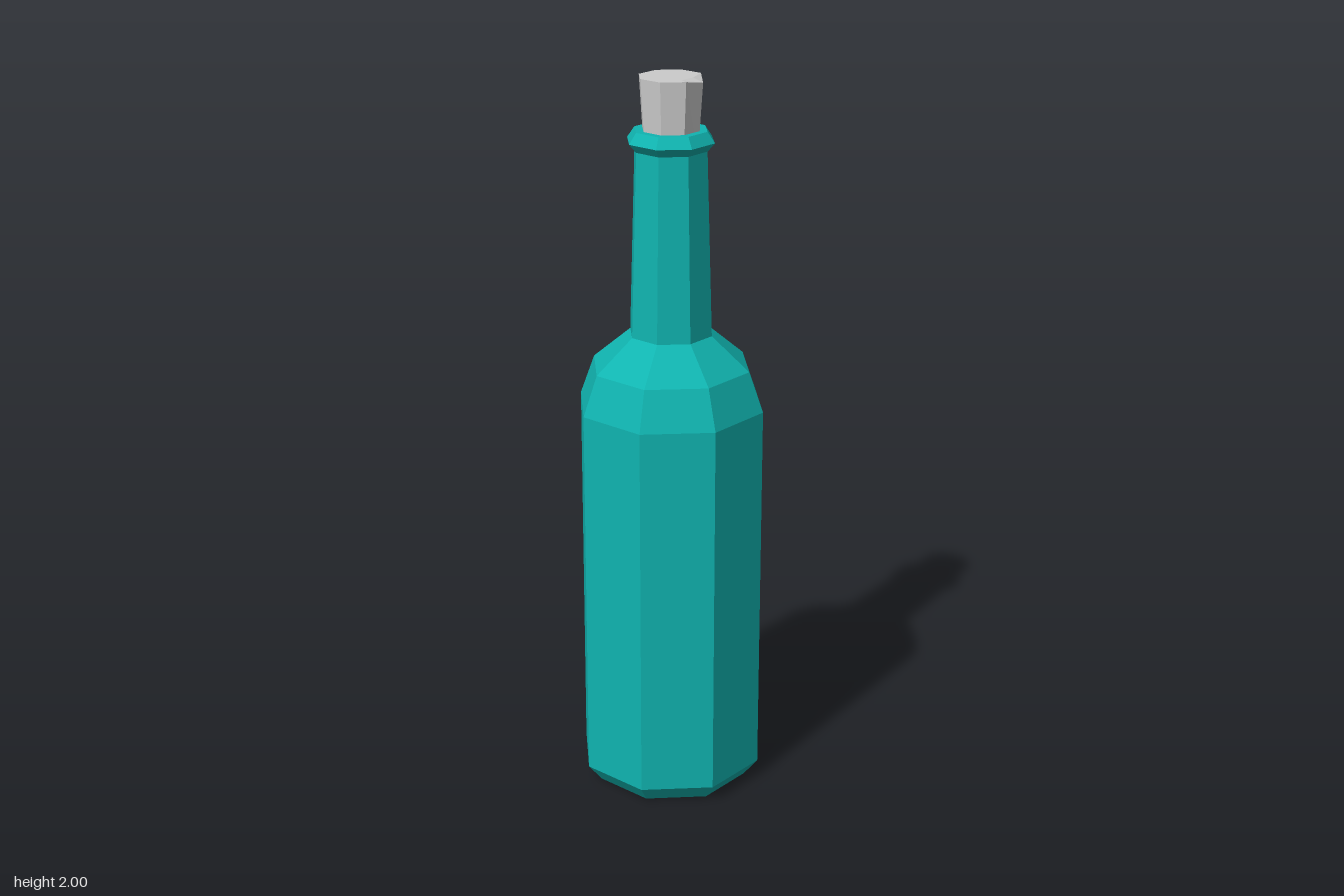
import * as THREE from 'three';

const SIDES = 8;

// Octagonal turned part from a [radius, height] profile, listed bottom to top
function turned(name, profile, color) {
  const points = profile.map(([r, y]) => new THREE.Vector2(r, y));
  const mesh = new THREE.Mesh(
    new THREE.LatheGeometry(points, SIDES),
    new THREE.MeshStandardMaterial({ color, flatShading: true })
  );
  mesh.name = name;
  return mesh;
}

export function createModel() {
  const group = new THREE.Group();
  group.name = 'bottle';

  // Glass: chamfered base, straight body, two-step shoulder, tapered neck, flared lip
  const glass = turned('glass', [
    [0, 0], [0.22, 0], [0.26, 0.05], [0.26, 1.11], [0.22, 1.22],
    [0.115, 1.31], [0.1, 1.81], [0.12, 1.833], [0.1, 1.862], [0, 1.862],
  ], 0x10b4b0);

  // Cork: widens upward
  const cork = turned('cork', [
    [0.074, 1.8], [0.087, 2], [0.06, 2], [0, 2],
  ], 0xcccccc);

  // Worn cork rim: the corner on the left side sits slightly lower
  const p = cork.geometry.attributes.position;
  for (let i = 0; i < p.count; i++) {
    if (p.getX(i) > 0.08 && p.getY(i) > 1.9) p.setY(i, 1.988);
  }

  group.add(glass, cork);
  return group;
}
